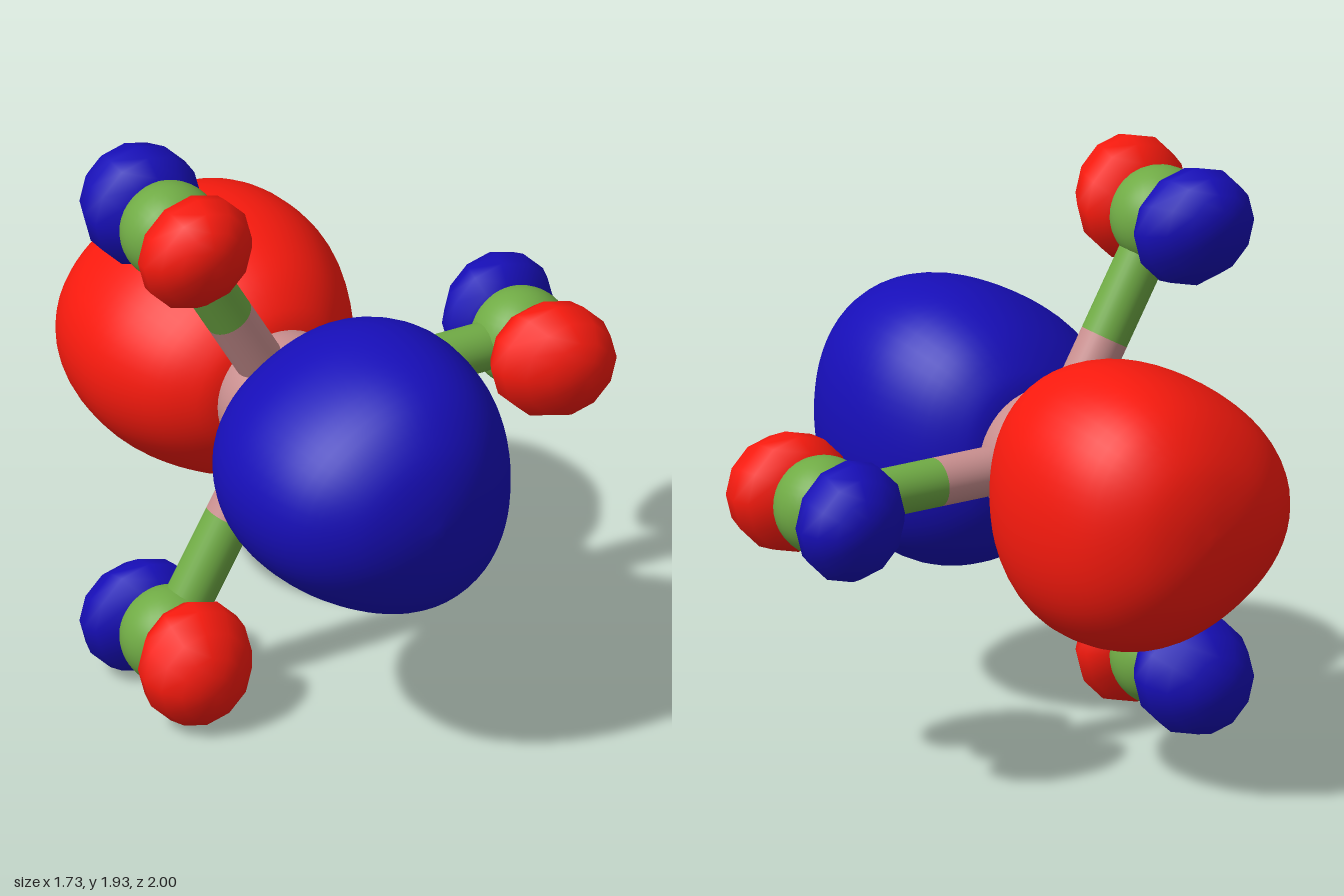
import * as THREE from 'three';
import { mergeVertices } from 'three/addons/utils/BufferGeometryUtils.js';

const CENTER = new THREE.Vector3(-0.23, 0.96, 0);
const BOND = 0.865;
const BOND_RADIUS = 0.08;

const red = new THREE.MeshStandardMaterial({ color: 0xf91a0e });
const blue = new THREE.MeshStandardMaterial({ color: 0x170eb8 });
const green = new THREE.MeshStandardMaterial({ color: 0x70ab45 });
const pink = new THREE.MeshStandardMaterial({ color: 0xc98f8f });

function part(name, geometry, material, parent) {
  const mesh = new THREE.Mesh(geometry, material);
  mesh.name = name;
  parent.add(mesh);
  return mesh;
}

// Lathe around z, vertices then moved by a rule, welded and smoothed
function lobeGeometry(profile, sides, moveVertex) {
  let geo = new THREE.LatheGeometry(profile, sides).rotateX(Math.PI / 2);
  geo.deleteAttribute('uv');
  geo.deleteAttribute('normal');
  geo = mergeVertices(geo, 1e-4);
  const pos = geo.attributes.position;
  const v = new THREE.Vector3();
  for (let i = 0; i < pos.count; i++) {
    moveVertex(v.fromBufferAttribute(pos, i));
    pos.setXYZ(i, v.x, v.y, v.z);
  }
  geo.computeVertexNormals();
  return geo;
}

const toPoints = (pairs) => pairs.map(([r, z]) => new THREE.Vector2(r, z));

// Large lobe: rounded three-cornered section, corners between the bonds
function largeLobeGeometry() {
  const curve = new THREE.SplineCurve(toPoints([
    [0, 0.045], [0.2, 0.065], [0.3, 0.12], [0.385, 0.22], [0.447, 0.37], [0.463, 0.52],
    [0.44, 0.69], [0.375, 0.83], [0.26, 0.935], [0.13, 0.985], [0, 1],
  ]));
  const profile = curve.getPoints(36);
  profile[0].x = profile[36].x = 0;
  return lobeGeometry(profile, 60, (v) => {
    const k = 1 - 0.052 * Math.cos(3 * Math.atan2(v.y, v.x));
    v.x *= k;
    v.y *= k;
  });
}

// Small lobe: coarse and rounded, leaning away from the centre
function smallLobeGeometry() {
  const profile = toPoints([
    [0, 0.045], [0.09, 0.055], [0.155, 0.085], [0.196, 0.14], [0.2, 0.2],
    [0.168, 0.27], [0.115, 0.32], [0.06, 0.342], [0, 0.35],
  ]);
  return lobeGeometry(profile, 12, (v) => {
    v.x += 0.012 + 0.22 * (v.z - 0.17);
  });
}

// Front lobe plus its half-turned partner behind
function lobePair(name, geometry, frontMaterial, backMaterial, parent) {
  part(name + 'Front', geometry, frontMaterial, parent);
  part(name + 'Back', geometry, backMaterial, parent).rotation.x = Math.PI;
}

export function createModel() {
  const model = new THREE.Group();
  model.name = 'molecularOrbital';

  const core = new THREE.Group();
  core.name = 'core';
  core.position.copy(CENTER);
  model.add(core);

  part('centralAtom', new THREE.SphereGeometry(0.23, 40, 24), pink, core);
  const largeLobes = new THREE.Group();
  largeLobes.name = 'largeLobes';
  largeLobes.position.x = 0.005;
  core.add(largeLobes);
  lobePair('largeLobe', largeLobeGeometry(), blue, red, largeLobes);

  const smallLobe = smallLobeGeometry();
  const atom = new THREE.SphereGeometry(0.165, 32, 20);
  const halfBond = new THREE.CylinderGeometry(BOND_RADIUS, BOND_RADIUS, BOND / 2, 32).rotateZ(-Math.PI / 2);

  // Three identical arms, a third of a turn apart
  for (let i = 0; i < 3; i++) {
    const arm = new THREE.Group();
    arm.name = 'arm' + (i + 1);
    arm.rotation.z = (i * 2 * Math.PI) / 3;
    core.add(arm);

    part('innerBond', halfBond, pink, arm).position.x = BOND * 0.25;
    part('outerBond', halfBond, green, arm).position.x = BOND * 0.75;

    const end = new THREE.Group();
    end.name = 'armEnd';
    end.position.x = BOND;
    arm.add(end);
    part('outerAtom', atom, green, end);
    lobePair('smallLobe', smallLobe, red, blue, end);
  }
  return model;
}
